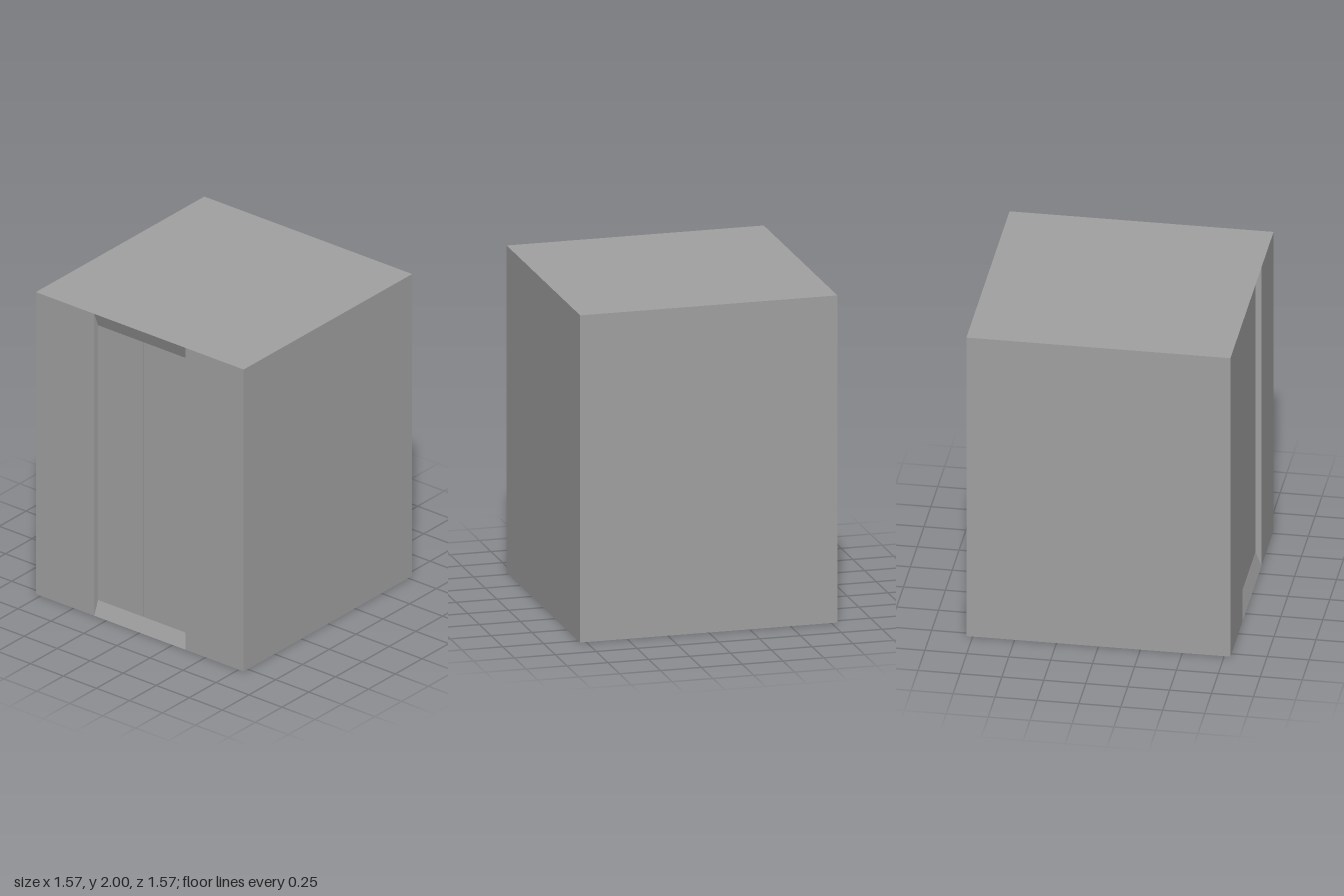
import * as THREE from 'three';

const HALF = 0.787, HEIGHT = 2;          // cabin half width and height
const DOOR_HALF = 0.345, GAP = 0.006;    // doorway half width, slit between panels
const DOOR_Z = 0.751, BACK_Z = 0.726;    // door face and back of the recess
const SLOPE = 0.09;                      // height of the slanted sill and lintel

export function createModel() {
  const group = new THREE.Group();
  const material = new THREE.MeshStandardMaterial({ color: 0xa0a0a0, flatShading: true });
  const add = (name, geometry) => {
    const mesh = new THREE.Mesh(geometry, material);
    mesh.name = name;
    group.add(mesh);
    return mesh;
  };
  const outline = (points) => new THREE.Shape(points.map(([x, y]) => new THREE.Vector2(x, y)));

  // Cabin: square footprint with a doorway recess, extruded upwards
  const footprint = outline([
    [-HALF, HALF], [-HALF, -HALF], [-DOOR_HALF, -HALF], [-DOOR_HALF, -BACK_Z],
    [DOOR_HALF, -BACK_Z], [DOOR_HALF, -HALF], [HALF, -HALF], [HALF, HALF],
  ]);
  const cabin = new THREE.ExtrudeGeometry(footprint, { depth: HEIGHT, bevelEnabled: false });
  add('cabin', cabin.rotateX(-Math.PI / 2));

  // Slanted sill and lintel: one cross-section, turned over for the top
  const wedge = outline([[-HALF, 0], [-BACK_Z, 0], [-BACK_Z, SLOPE], [-DOOR_Z, SLOPE]]);
  const sill = new THREE.ExtrudeGeometry(wedge, { depth: DOOR_HALF * 2, bevelEnabled: false });
  sill.translate(0, 0, -DOOR_HALF).rotateY(Math.PI / 2);
  add('sill', sill);
  add('lintel', sill.clone().rotateZ(Math.PI).translate(0, HEIGHT, 0));

  // Pair of sliding door panels with a narrow slit between them
  const panelWidth = DOOR_HALF - GAP / 2;
  const panel = new THREE.BoxGeometry(panelWidth, HEIGHT - SLOPE * 2, DOOR_Z - BACK_Z);
  for (const [name, side] of [['leftDoor', 1], ['rightDoor', -1]]) {
    add(name, panel).position.set(side * (GAP + panelWidth) / 2, HEIGHT / 2, (DOOR_Z + BACK_Z) / 2);
  }

  return group;
}
